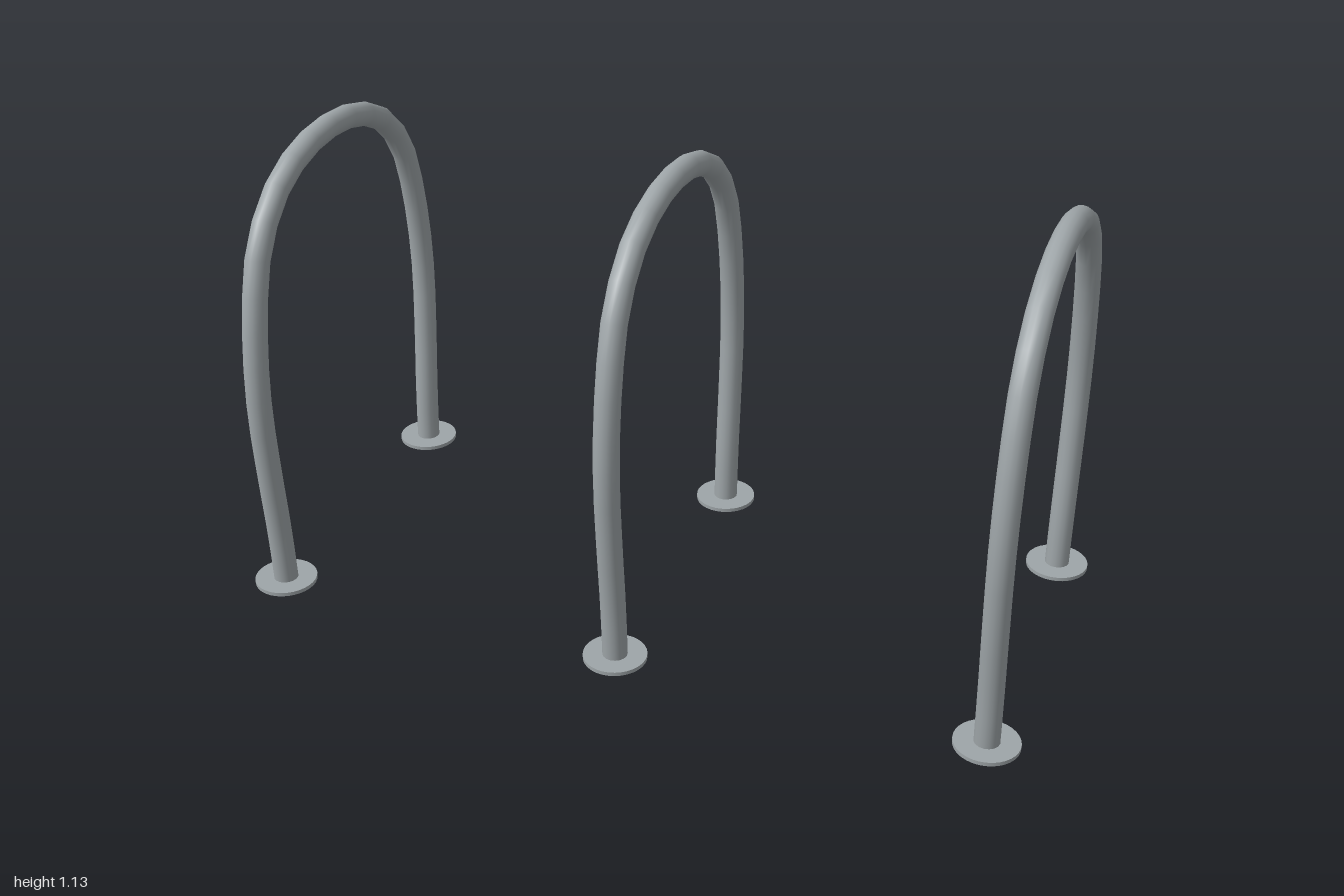
import * as THREE from 'three';

const PLATE_RADIUS = 0.079;
const PLATE_HEIGHT = 0.01;
const TUBE_RADIUS = 0.031;
const FOOT_Z = 0.395;

// Half of the hoop's centre line as [z, y], from the front foot to the crown
const HALF = [
  [FOOT_Z, 0.003], [0.402, 0.15], [0.419, 0.35], [0.428, 0.52], [0.42, 0.66],
  [0.394, 0.81], [0.356, 0.92], [0.28, 1.015], [0.187, 1.07], [0.09, 1.097],
];

export function createModel() {
  const model = new THREE.Group();
  model.name = 'bikeRack';
  const steel = new THREE.MeshStandardMaterial({ color: 0x9ea5a8 });
  steel.name = 'galvanised steel';

  // Mirror the half profile to get the full arch
  const front = HALF.map(([z, y]) => new THREE.Vector3(0, y, z));
  const back = HALF.map(([z, y]) => new THREE.Vector3(0, y, -z)).reverse();
  const path = new THREE.CatmullRomCurve3([...front, new THREE.Vector3(0, 1.104, 0), ...back]);

  const hoopGeometry = new THREE.TubeGeometry(path, 30, TUBE_RADIUS, 16);
  const plateGeometry = new THREE.CylinderGeometry(PLATE_RADIUS, PLATE_RADIUS, PLATE_HEIGHT, 32);

  // Three identical stands in a row
  for (const x of [-0.921, 0, 0.921]) {
    const stand = new THREE.Group();
    stand.name = 'stand';
    stand.position.x = x;

    const hoop = new THREE.Mesh(hoopGeometry, steel);
    hoop.name = 'hoop';
    stand.add(hoop);

    // Round floor plate under each foot
    for (const side of [1, -1]) {
      const plate = new THREE.Mesh(plateGeometry, steel);
      plate.name = side > 0 ? 'frontBasePlate' : 'backBasePlate';
      plate.position.set(0, PLATE_HEIGHT / 2, side * FOOT_Z);
      stand.add(plate);
    }
    model.add(stand);
  }
  return model;
}
